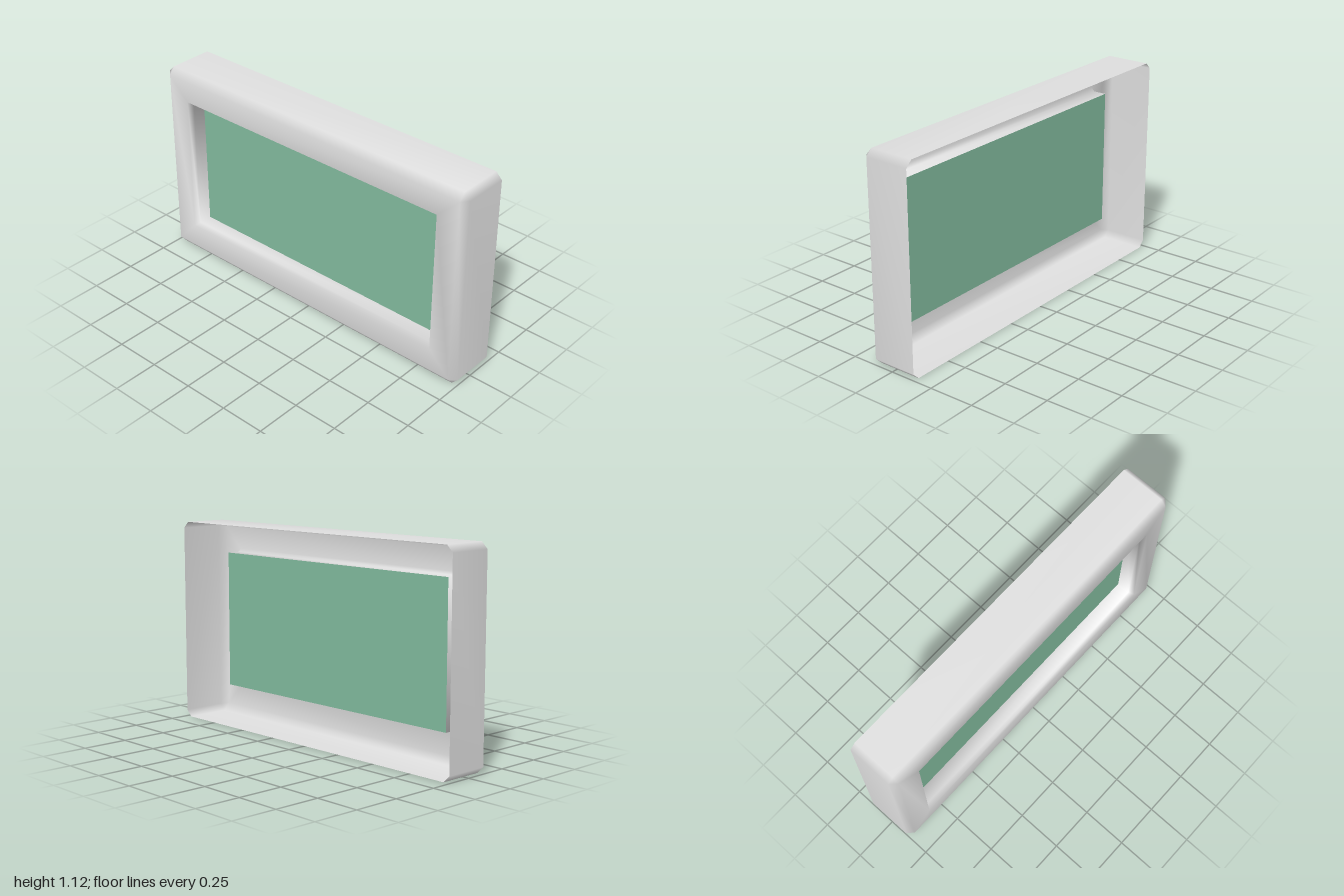
import * as THREE from 'three';
import { mergeVertices } from 'three/addons/utils/BufferGeometryUtils.js';

const frameGrey = new THREE.MeshStandardMaterial({ color: 0xdedede, side: THREE.DoubleSide });
frameGrey.name = 'frameGrey';
const paneGreen = new THREE.MeshStandardMaterial({ color: 0x81ba9d, side: THREE.DoubleSide });
paneGreen.name = 'paneGreen';

// Rectangle with cut corners (cut may be 0), counter-clockwise seen from the front
function ring({ w, y0, y1, cut, z }) {
  return [
    [w, y0 + cut, z], [w, y1 - cut, z],
    [w - cut, y1, z], [cut - w, y1, z],
    [-w, y1 - cut, z], [-w, y0 + cut, z],
    [cut - w, y0, z], [w - cut, y0, z],
  ];
}

// Smooth skin joining successive rings
function loft(sections) {
  const positions = sections.flatMap(ring).flat();
  const index = [];
  for (let s = 0; s < sections.length - 1; s++) {
    for (let i = 0; i < 8; i++) {
      const a = s * 8 + i, b = s * 8 + (i + 1) % 8;
      index.push(a, b, b + 8, a, b + 8, a + 8);
    }
  }
  const geometry = new THREE.BufferGeometry();
  geometry.setAttribute('position', new THREE.Float32BufferAttribute(positions, 3));
  geometry.setIndex(index);
  const merged = mergeVertices(geometry);
  merged.computeVertexNormals();
  return merged;
}

export function createModel() {
  const group = new THREE.Group();
  group.name = 'framedWindow';

  // Hollow frame, open at the back: outer wall, bevel, face, inner bevel, lip
  const frame = new THREE.Mesh(loft([
    { w: 1, y0: 0, y1: 1.12, cut: 0.035, z: -0.14 },
    { w: 1, y0: 0, y1: 1.12, cut: 0.035, z: 0.107 },
    { w: 0.965, y0: 0.04, y1: 1.08, cut: 0, z: 0.14 },
    { w: 0.84, y0: 0.17, y1: 0.96, cut: 0, z: 0.14 },
    { w: 0.823, y0: 0.185, y1: 0.945, cut: 0, z: 0.11 },
    { w: 0.823, y0: 0.185, y1: 0.945, cut: 0, z: 0.035 },
  ]), frameGrey);
  frame.name = 'frame';
  group.add(frame);

  // Flat pane closing the back of the lip
  const pane = new THREE.Mesh(new THREE.PlaneGeometry(1.646, 0.76), paneGreen);
  pane.name = 'pane';
  pane.position.set(0, 0.565, 0.035);
  group.add(pane);

  return group;
}
